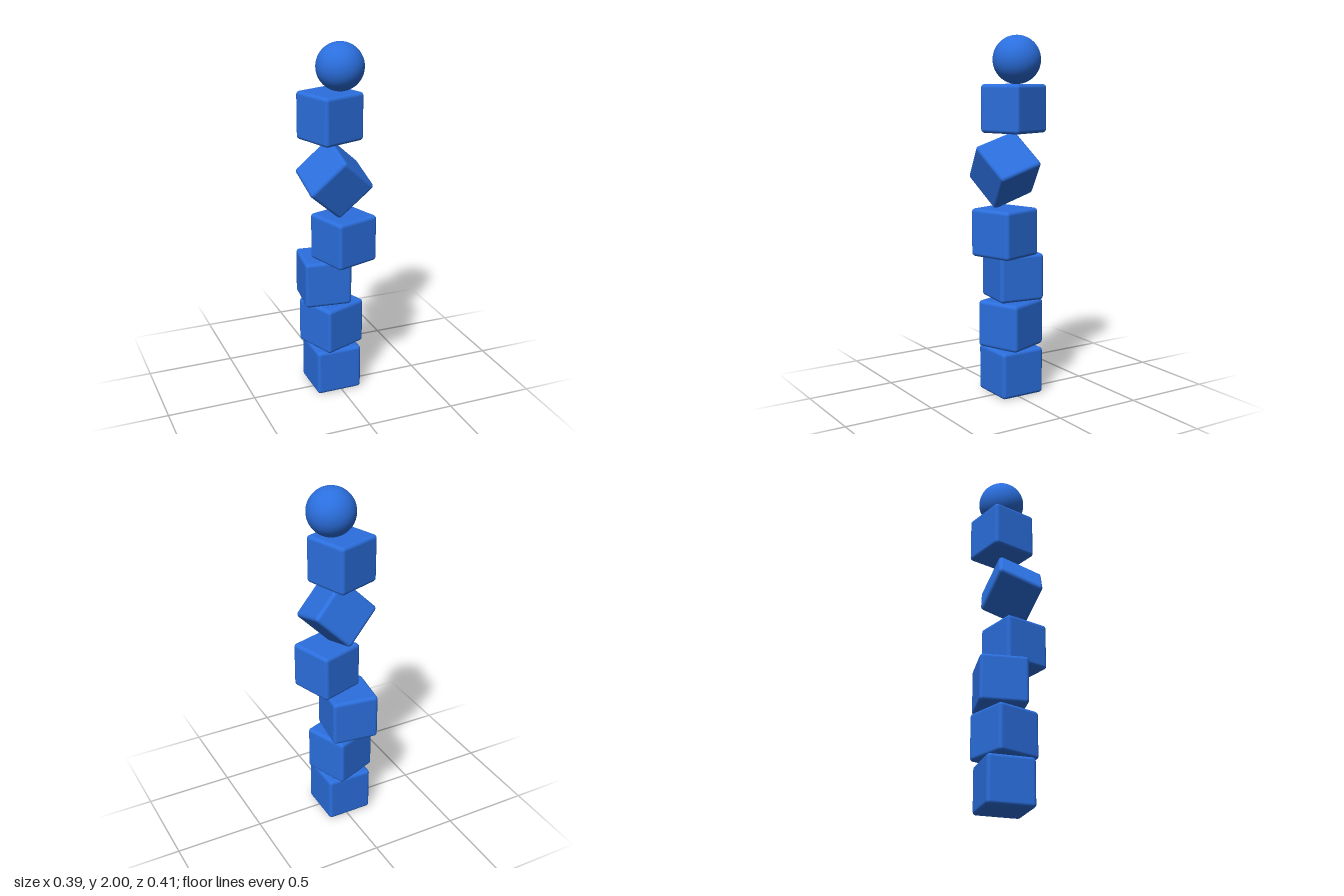
import * as THREE from 'three';
import { RoundedBoxGeometry } from 'three/addons/geometries/RoundedBoxGeometry.js';

const SIDE = 0.265;
const ROUNDING = 0.02;

// Each block, bottom to top: centre, then turn about x, y, z in degrees
const BLOCKS = [
  { at: [-0.016, 0.1335, -0.024], turn: [0, 0, 0] },
  { at: [-0.018, 0.402, -0.025], turn: [0, 21, 0] },
  { at: [-0.05, 0.668, -0.058], turn: [0, -7.5, 0] },
  { at: [0.029, 0.934, 0.046], turn: [0, 17.5, 0] },
  { at: [-0.015, 1.27, 0.018], turn: [17.5, 0, 47] }, // balanced on its corner
  { at: [-0.016, 1.605, -0.042], turn: [0, 18.5, 0] },
];

export function createModel() {
  const tower = new THREE.Group();
  tower.name = 'blockTower';
  const blue = new THREE.MeshStandardMaterial({ color: 0x2b6fde });

  // Stack of soft-edged cubes
  const cube = new RoundedBoxGeometry(SIDE, SIDE, SIDE, 4, ROUNDING);
  BLOCKS.forEach(({ at, turn }, i) => {
    const block = new THREE.Mesh(cube, blue);
    block.name = `block${i + 1}`;
    block.position.set(...at);
    block.rotation.set(...turn.map(THREE.MathUtils.degToRad));
    tower.add(block);
  });

  // Ball resting on top
  const ball = new THREE.Mesh(new THREE.SphereGeometry(0.131, 48, 32), blue);
  ball.name = 'ball';
  ball.position.set(0.037, 1.869, -0.027);
  tower.add(ball);

  return tower;
}
